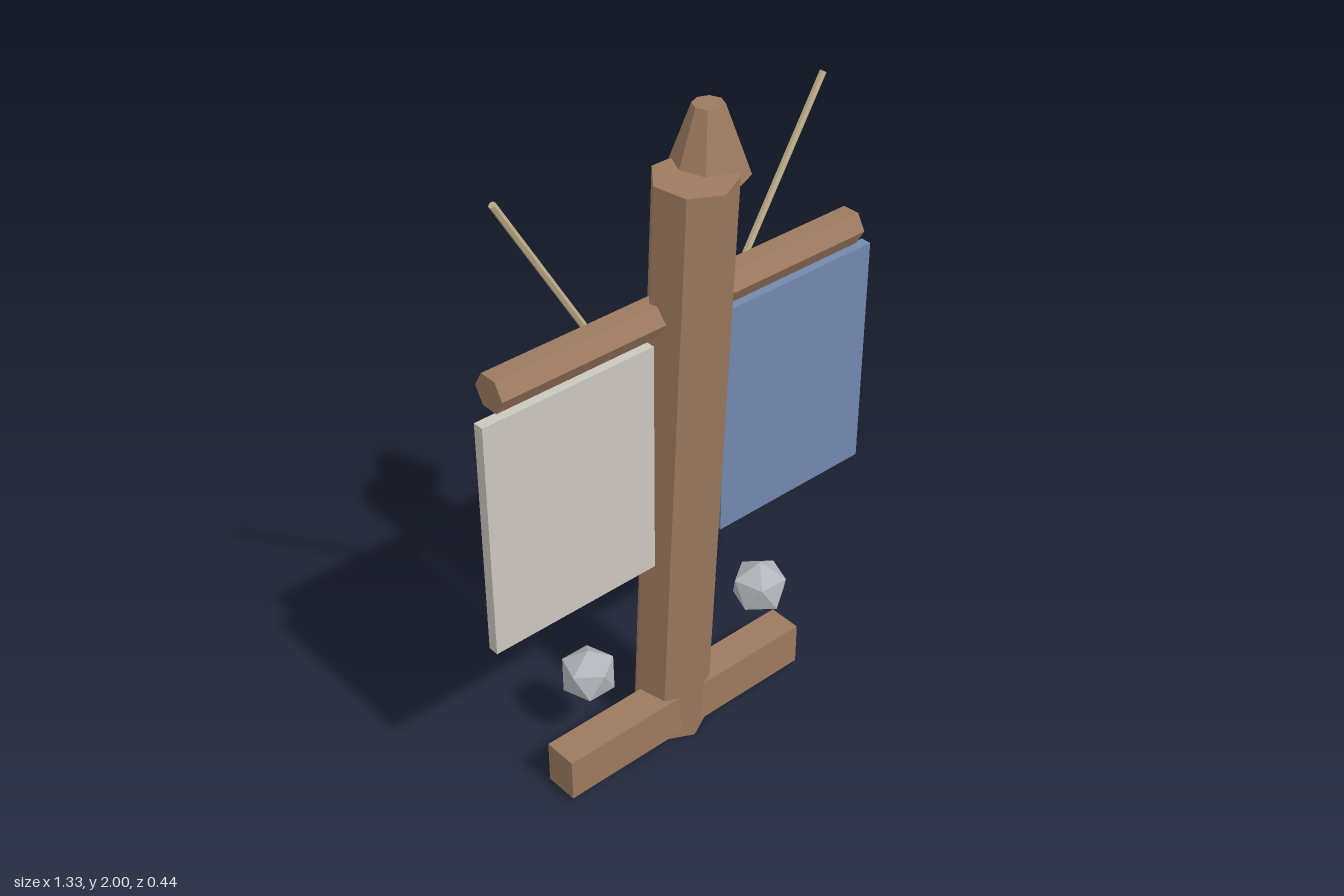
import * as THREE from 'three';

const flat = (color, name) => {
  const m = new THREE.MeshStandardMaterial({ color, flatShading: true });
  m.name = name;
  return m;
};

export function createModel() {
  const wood = flat(0x9c7a5f, 'wood');
  const pale = flat(0xcbc7be, 'paleCloth');
  const blue = flat(0x7288ae, 'blueCloth');
  const straw = flat(0xbfae88, 'straw');
  const stone = flat(0xb2b5ba, 'stone');

  const model = new THREE.Group();
  model.name = 'signpost';
  const add = (name, geometry, material, x, y, z) => {
    const mesh = new THREE.Mesh(geometry, material);
    mesh.name = name;
    mesh.position.set(x, y, z);
    model.add(mesh);
    return mesh;
  };

  // Seven-sided post, leaning forward
  const post = add('post', new THREE.CylinderGeometry(0.113, 0.113, 1.845, 7), wood, 0, 0.928, 0.053);
  post.rotation.x = 0.049;

  // Cap sitting off to one side of the post top
  add('cap', new THREE.CylinderGeometry(0.042, 0.11, 0.19, 8), wood, 0.085, 1.905, 0.053);

  // Hexagonal crossbeam and square foot plank
  const beam = add('crossbeam', new THREE.CylinderGeometry(0.053, 0.053, 1.23, 6), wood, 0, 1.467, 0.053);
  beam.rotation.z = Math.PI / 2;
  add('footPlank', new THREE.BoxGeometry(0.88, 0.137, 0.105), wood, -0.01, 0.097, 0.053);

  // Hanging panels and slanted sticks on each side
  for (const side of [-1, 1]) {
    const label = side > 0 ? 'left' : 'right';
    add(label + 'Panel', new THREE.BoxGeometry(0.542, 0.715, 0.032), side > 0 ? blue : pale, side * 0.393, 1.047, 0.07);
    const stick = add(label + 'Stick', new THREE.CylinderGeometry(0.01, 0.01, 0.705, 6), straw, side * 0.355, 1.622, 0);
    stick.rotation.z = -side * 0.535;
  }

  // Faceted stones, each with a corner pointing up
  const stoneGeometry = new THREE.IcosahedronGeometry(0.086, 0).rotateZ(Math.atan(2 / (1 + Math.sqrt(5))));
  [[-0.25, 0.273, -0.06, 0.3], [0.226, 0.465, 0.143, 0.9], [0.033, 0.977, -0.142, 1.6]].forEach(([x, y, z, turn], i) => {
    add('stone' + (i + 1), stoneGeometry, stone, x, y, z).rotation.y = turn;
  });

  return model;
}
